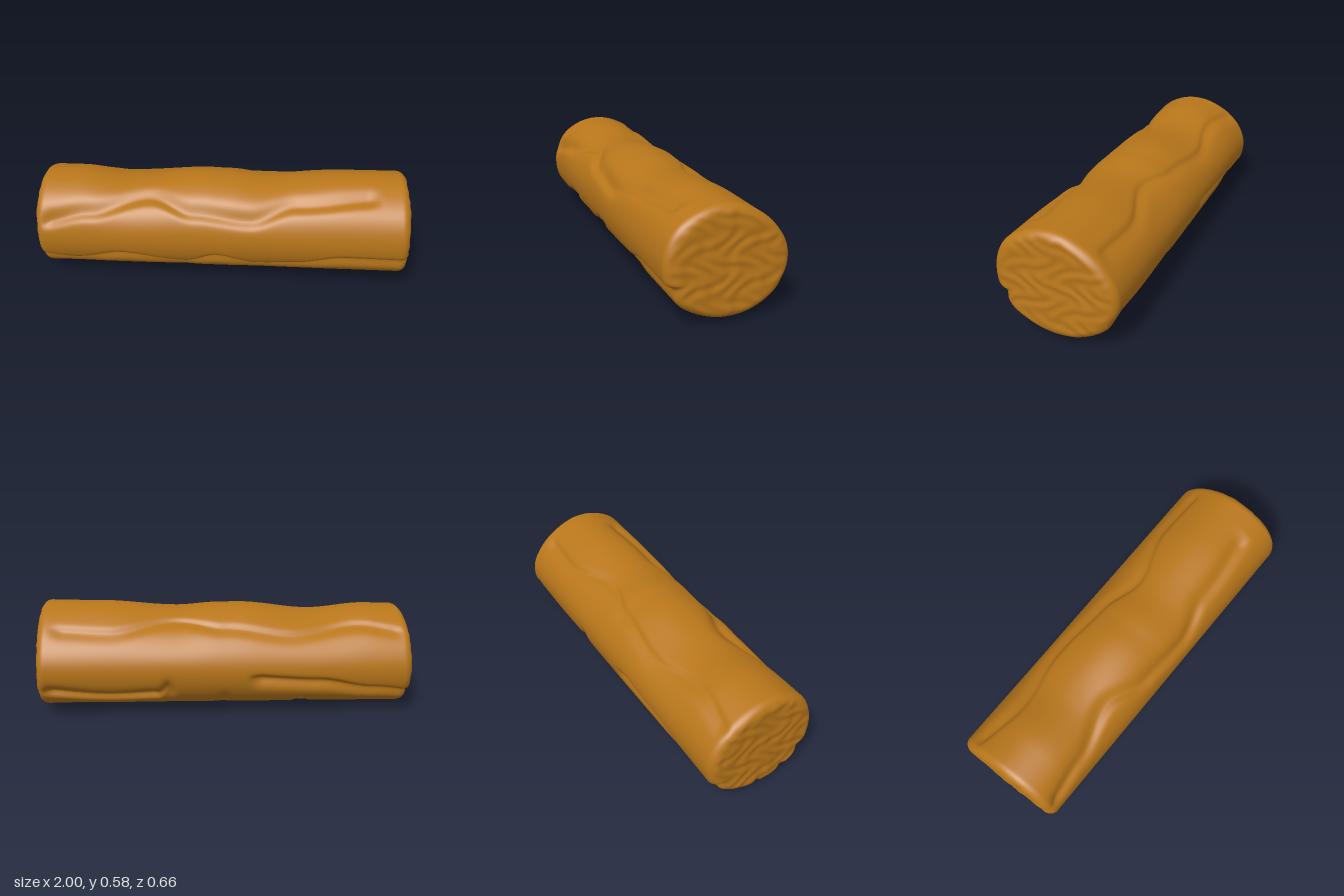
import * as THREE from 'three';

const RAD = Math.PI / 180;
const AROUND = 200;

// radius every 30 degrees, from the front (+z) upward over the top, at each end
const LEFT_END = [0.322, 0.322, 0.293, 0.273, 0.262, 0.278, 0.31, 0.31, 0.288, 0.275, 0.28, 0.307];
const RIGHT_END = [0.302, 0.3, 0.28, 0.265, 0.262, 0.285, 0.308, 0.305, 0.275, 0.265, 0.275, 0.298];

// smooth interpolation through [x, value] pairs
function along(points, x) {
  if (x <= points[0][0]) return points[0][1];
  for (let i = 1; i < points.length; i++) {
    const [x0, v0] = points[i - 1], [x1, v1] = points[i];
    if (x <= x1) {
      const t = (x - x0) / (x1 - x0);
      return v0 + (v1 - v0) * t * t * (3 - 2 * t);
    }
  }
  return points[points.length - 1][1];
}

// periodic Catmull-Rom through the twelve radii
function radial(list, angle) {
  const f = angle / 30, i = Math.floor(f), t = f - i;
  const at = k => list[(i + k + 12) % 12];
  const [a, b, c, d] = [at(-1), at(0), at(1), at(2)];
  return b + 0.5 * t * (c - a + t * (2 * a - 5 * b + 4 * c - d + t * (3 * (b - c) + d - a)));
}

// wavering bark folds: path is [x, angle], steep on one side and gentle on the other
const FOLDS = [
  { depth: 0.03, below: 0.045, above: 0.02, path: [[-1.1, -24], [-0.8, -33], [-0.55, -21], [-0.2, -33], [-0.03, -20], [0.2, -32], [0.4, -28], [0.65, -17], [1.1, -18]] },
  { depth: 0.024, below: 0.03, above: 0.06, path: [[-1, 16], [-0.7, 28], [-0.38, 46], [-0.15, 30], [0.15, 24], [0.4, 40], [0.85, 49]] },
  { depth: 0.014, below: 0.03, above: 0.05, path: [[-1, 140], [-0.7, 128], [-0.35, 144], [0.0, 134], [0.25, 120], [0.6, 142], [0.95, 138]] },
  { depth: 0.032, below: 0.02, above: 0.04, path: [[-1.1, 212], [-0.8, 204], [-0.5, 194], [-0.1, 190]] },
  { depth: 0.03, below: 0.04, above: 0.018, path: [[0.28, 196], [0.36, 212], [0.6, 216], [1.0, 206]] },
  { depth: 0.022, below: 0.02, above: 0.035, path: [[-0.1, 246], [0.2, 240], [0.5, 246], [0.85, 238]] },
  { depth: 0.028, below: 0.03, above: 0.02, path: [[-1.1, 268], [-0.75, 262], [-0.5, 245], [-0.25, 252]] },
  { depth: 0.024, below: 0.03, above: 0.025, path: [[-1.1, 304], [-0.6, 296], [-0.2, 304], [0.2, 294], [0.7, 302]] },
];

function foldDepth(x, angle) {
  let sum = 0;
  for (const { path, depth, below, above } of FOLDS) {
    const fade = THREE.MathUtils.smoothstep(x, path[0][0], path[0][0] + 0.1)
      * (1 - THREE.MathUtils.smoothstep(x, path[path.length - 1][0] - 0.1, path[path.length - 1][0]));
    if (!fade) continue;
    const turn = ((angle - along(path, x) + 540) % 360) - 180;
    const d = turn * RAD * 0.3;
    sum += depth * fade * Math.exp(-((d / (d < 0 ? below : above)) ** 2));
  }
  // short cross-grain notches under the back
  for (const [nx, na] of [[0.3, 204], [0.0, 222], [-0.42, 232]]) {
    sum += 0.02 * Math.exp(-(((x - nx) / 0.03) ** 2) - (((angle - na) / 11) ** 2));
  }
  return sum;
}

// dips along the top
const TOP_WAVE = [[-1, 0], [-0.8, 0], [-0.5, -0.037], [-0.1, 0], [0.02, -0.005], [0.25, -0.027], [0.65, 0], [1, 0]];

function logPoint(x, scale, face, angle) {
  const t = (x + 1) / 2, a = angle * RAD;
  let r = THREE.MathUtils.lerp(radial(RIGHT_END, angle), radial(LEFT_END, angle), t);
  r += along(TOP_WAVE, x) * Math.max(0, Math.sin(a)) ** 2;
  r = (r - foldDepth(x, angle)) * scale;
  const z = -0.025 + 0.035 * t + r * Math.cos(a);
  const y = 0.27 + 0.04 * t + r * Math.sin(a);
  // shallow lumps on the cut faces, and a slight lean of the left cut
  const lump = 0.004 * Math.sin(z * 43 + 2 * Math.sin(y * 31)) * Math.sin(y * 47 + 1.5 * Math.sin(z * 23));
  const inward = face * (0.004 + lump * Math.min(1, (1 - scale) * 8));
  const lean = 0.022 * THREE.MathUtils.smoothstep(x, 0.8, 1) * (y - 0.03) / 0.55;
  return [x - Math.sign(x) * inward - lean, y, z];
}

function logGeometry() {
  // rings: right cut face, rounded rim, bark, rounded rim, left cut face
  const half = [];
  const rim = 0.05, rimScale = 0.17;
  for (let i = 0; i <= 24; i++) half.push([1, (1 - rimScale) * i / 24, 1]);
  for (let i = 1; i <= 10; i++) {
    const q = i / 10 * Math.PI / 2;
    half.push([1 - rim * (1 - Math.cos(q)), 1 - rimScale * (1 - Math.sin(q)), 1 - i / 10]);
  }
  const rings = half.map(([x, s, f]) => [-x, s, f]);
  for (let i = 1; i < 200; i++) rings.push([(1 - rim) * (i / 100 - 1), 1, 0]);
  rings.push(...half.reverse());

  const positions = [], index = [];
  rings.forEach(([x, s, f], i) => {
    for (let j = 0; j < AROUND; j++) {
      positions.push(...logPoint(x, s, f, j / AROUND * 360));
      if (i === rings.length - 1) continue;
      const k = (j + 1) % AROUND, a = i * AROUND, b = a + AROUND;
      index.push(a + j, b + j, a + k, b + j, b + k, a + k);
    }
  });
  const geometry = new THREE.BufferGeometry();
  geometry.setAttribute('position', new THREE.Float32BufferAttribute(positions, 3));
  geometry.setIndex(index);
  geometry.computeVertexNormals();
  return geometry;
}

export function createModel() {
  const group = new THREE.Group();
  group.name = 'woodenLog';
  const log = new THREE.Mesh(logGeometry(), new THREE.MeshStandardMaterial({ color: 0xb8761a }));
  log.name = 'log';
  group.add(log);
  return group;
}
